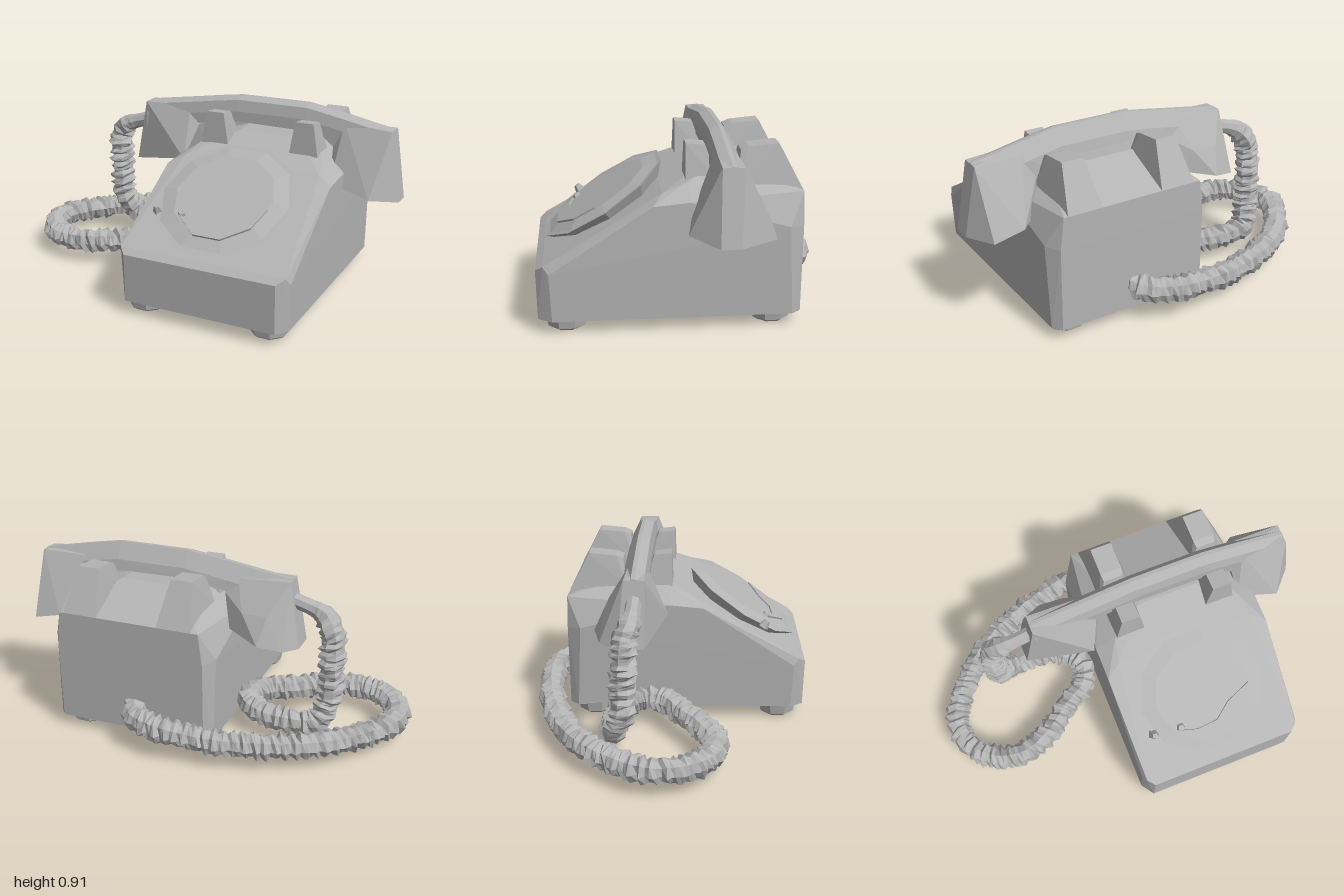
import * as THREE from 'three';
import { ConvexGeometry } from 'three/addons/geometries/ConvexGeometry.js';

export function createModel() {
  const phone = new THREE.Group();
  phone.name = 'rotaryTelephone';
  const grey = new THREE.MeshStandardMaterial({ color: 0xb4b4b4 });
  grey.name = 'plain grey';

  const add = (name, geometry, parent = phone) => {
    const mesh = new THREE.Mesh(geometry, grey);
    mesh.name = name;
    parent.add(mesh);
    return mesh;
  };
  const hull = (pts) => new ConvexGeometry(pts.map((p) => new THREE.Vector3(...p)));
  const flat = (geometry) => {
    const g = geometry.index ? geometry.toNonIndexed() : geometry;
    g.computeVertexNormals();
    return g;
  };

  // Body: half width, height and depth of each corner, mirrored about its own centre
  const MID = 0.302;
  const corners = [
    [0.43, 0.07, 0.63], [0.385, 0.07, 0.695], [0.425, 0.062, -0.48], [0.39, 0.062, -0.525],
    [0.435, 0.3, 0.64], [0.385, 0.31, 0.7], [0.42, 0.335, 0.665],
    [0.435, 0.605, 0.17], [0.435, 0.62, 0.0], [0.435, 0.49, -0.46],
    [0.36, 0.645, 0.12], [0.33, 0.69, 0.0], [0.3, 0.71, -0.05], [0.3, 0.71, -0.28],
    [0.16, 0.745, -0.1], [0.16, 0.75, -0.25],
    [0.37, 0.64, -0.53], [0.39, 0.48, -0.53],
  ];
  add('body', hull(corners.flatMap(([w, y, z]) => [[MID - w, y, z], [MID + w, y, z]])));

  // Feet: wide at the top with a bevelled sole
  const footProfile = [[0, 0.003], [0.07, 0.003], [0.092, 0.018], [0.103, 0.073], [0, 0.073]]
    .map((p) => new THREE.Vector2(...p));
  for (const x of [-0.03, 0.61]) {
    for (const z of [0.565, -0.395]) {
      const foot = add('foot', flat(new THREE.LatheGeometry(footProfile, 8, Math.PI / 8)));
      foot.position.set(x, 0, z);
    }
  }

  // Cradle prongs, front and rear pairs
  const prong = (name, x, slices) => add(name, hull(slices.flatMap(
    ([w, y, z]) => [[x - w, y, z], [x + w, y, z]])));
  for (const x of [0.053, 0.535]) {
    prong('frontProng', x, [
      [0.08, 0.66, 0.01], [0.08, 0.68, -0.14],
      [0.047, 0.855, 0.005], [0.045, 0.845, -0.085],
    ]);
  }
  for (const x of [0.06, 0.56]) {
    prong('rearProng', x, [
      [0.09, 0.64, -0.53], [0.09, 0.68, -0.22],
      [0.05, 0.825, -0.245], [0.055, 0.84, -0.28], [0.055, 0.852, -0.42],
    ]);
  }

  // Tilted dial with a narrower underside
  const dial = new THREE.Group();
  dial.name = 'dial';
  dial.position.set(0.288, 0.549, 0.378);
  dial.rotation.x = Math.atan2(0.36, 0.555);
  phone.add(dial);
  const plate = flat(new THREE.CylinderGeometry(0.345, 0.29, 0.06, 10, 1, false, Math.PI / 10));
  plate.scale(1, 1, 1.0);
  add('dialPlate', plate, dial).position.y = -0.03;
  const crown = flat(new THREE.CylinderGeometry(0.25, 0.325, 0.016, 10, 1, false, Math.PI / 10));
  add('dialCrown', crown, dial).position.y = 0.008;

  // Raised crescent and small stops on the dial
  const crescent = new THREE.Shape([
    [-0.18, -0.15], [-0.06, -0.25], [0.08, -0.25], [0.2, -0.16], [0.24, -0.04],
    [0.11, -0.1], [0.03, -0.17], [-0.08, -0.18],
  ].map((p) => new THREE.Vector2(...p)));
  const ridge = add('dialCrescent', flat(
    new THREE.ExtrudeGeometry(crescent, { depth: 0.024, bevelEnabled: false })), dial);
  ridge.rotation.x = -Math.PI / 2;
  for (const [x, z, r] of [[-0.3, 0.13, 0.03], [-0.16, 0.14, 0.035]]) {
    const stop = add('dialStop', flat(new THREE.CylinderGeometry(r * 0.5, r, 0.04, 5)), dial);
    stop.position.set(x, 0.01, z);
  }

  // Handset: an arched grip of straight pieces, then the two cups
  const handset = new THREE.Group();
  handset.name = 'handset';
  phone.add(handset);
  const section = ([x, top, low]) => [
    [x, top, -0.155], [x, top, -0.175], [x, top - 0.017, -0.112],
    [x, top - 0.08, -0.225], [x, top - 0.075, -0.1], [x, low, -0.1], [x, low, -0.235],
  ];
  const sections = [
    [-0.41, 0.838, 0.7], [-0.09, 0.886, 0.755], [0.02, 0.903, 0.785], [0.13, 0.918, 0.79],
    [0.5, 0.918, 0.785], [0.6, 0.9, 0.765], [0.68, 0.885, 0.7], [0.94, 0.832, 0.68],
  ];
  for (let i = 1; i < sections.length; i++) {
    add('grip', hull([...section(sections[i - 1]), ...section(sections[i])]), handset);
  }
  const cup = (name, rim, slope, crownPts) => add(name, hull([
    ...rim.map(([x, z]) => [x, slope(x), z]), ...crownPts]), handset);
  cup('leftHandCup',
    [[0.998, -0.19], [0.998, -0.1], [0.88, 0.025], [0.67, -0.02],
      [0.66, -0.25], [0.78, -0.36], [0.93, -0.355]],
    (x) => 0.487 + (0.998 - x) * 0.24,
    [[0.94, 0.83, -0.11], [0.94, 0.83, -0.21], [0.65, 0.72, -0.1], [0.65, 0.72, -0.235],
      [0.7, 0.85, -0.115], [0.7, 0.83, -0.21]]);
  cup('rightHandCup',
    [[-0.475, -0.24], [-0.475, -0.11], [-0.33, -0.085], [-0.14, -0.01],
      [-0.13, -0.28], [-0.3, -0.365], [-0.42, -0.33]],
    (x) => 0.51 + (x + 0.475) * 0.2,
    [[-0.415, 0.835, -0.11], [-0.415, 0.835, -0.21], [-0.09, 0.75, -0.1], [-0.09, 0.75, -0.235],
      [-0.15, 0.84, -0.115], [-0.15, 0.82, -0.21], [-0.2, 0.68, -0.3], [-0.33, 0.68, -0.305]]);

  // Coiled cord: a tube whose rings swell and shrink in a slanted, uneven rhythm
  const path = new THREE.CatmullRomCurve3([
    [0.29, 0.17, -0.5], [0.235, 0.17, -0.6], [0.1, 0.155, -0.635], [-0.15, 0.13, -0.61],
    [-0.4, 0.12, -0.54], [-0.64, 0.115, -0.42], [-0.82, 0.115, -0.25], [-0.935, 0.115, -0.05],
    [-0.905, 0.115, 0.1], [-0.79, 0.115, 0.21], [-0.64, 0.115, 0.235], [-0.49, 0.12, 0.175],
    [-0.35, 0.125, 0.075], [-0.22, 0.13, -0.01], [-0.19, 0.13, -0.14], [-0.29, 0.125, -0.24],
    [-0.45, 0.12, -0.26], [-0.58, 0.14, -0.25], [-0.625, 0.24, -0.21], [-0.635, 0.45, -0.2],
    [-0.625, 0.6, -0.19], [-0.57, 0.675, -0.165], [-0.42, 0.73, -0.16],
  ].map((p) => new THREE.Vector3(...p)));
  let seed = 7;
  const random = () => (seed = (seed * 16807) % 2147483647) / 2147483647;
  const RINGS = 240, SIDES = 8;
  const cord = new THREE.TubeGeometry(path, RINGS, 1, SIDES);
  const pos = cord.attributes.position;
  const v = new THREE.Vector3();
  for (let i = 0; i <= RINGS; i++) {
    const t = i / RINGS;
    const centre = path.getPointAt(t);
    const thin = THREE.MathUtils.smoothstep(t, 0.94, 0.98);
    const noise = Array.from({ length: SIDES }, random);
    for (let j = 0; j <= SIDES; j++) {
      const wave = Math.sin(i * 2.1 + (j / SIDES) * Math.PI * 2);
      const bump = 1 + (1 - thin) * (0.11 * wave + 0.42 * (noise[j % SIDES] - 0.5));
      const k = i * (SIDES + 1) + j;
      v.fromBufferAttribute(pos, k).sub(centre);
      v.multiplyScalar((0.06 - 0.022 * thin) * bump).add(centre);
      pos.setXYZ(k, v.x, v.y, v.z);
    }
  }
  add('coiledCord', flat(cord));

  return phone;
}
